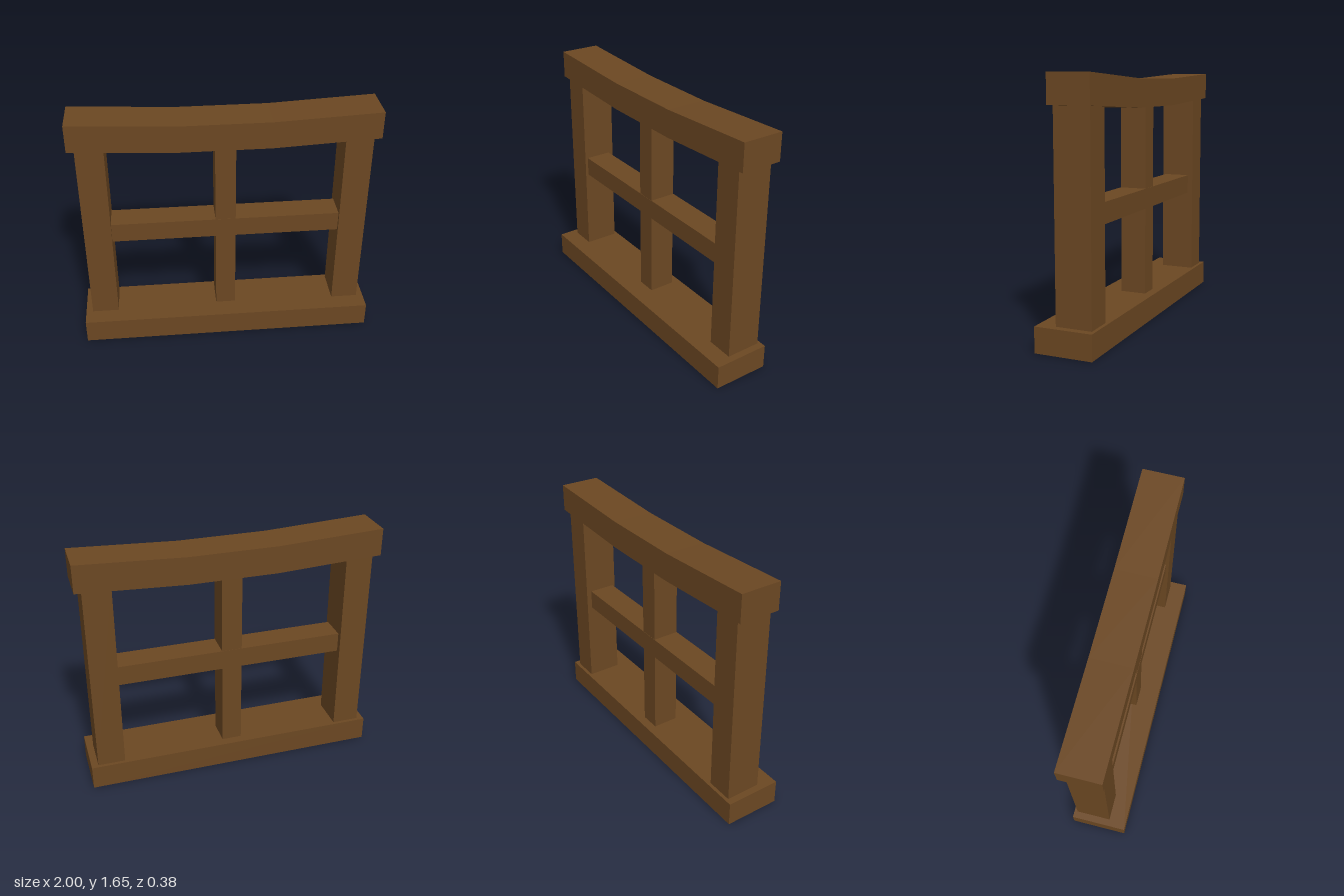
import * as THREE from 'three';

export function createModel() {
  const group = new THREE.Group();
  group.name = 'woodenFrame';
  const wood = new THREE.MeshStandardMaterial({ color: 0x6b4722 });
  wood.name = 'brown wood';

  // Square timber given by its extents on each axis
  function timber(name, [x0, x1], [y0, y1], [z0, z1]) {
    const mesh = new THREE.Mesh(new THREE.BoxGeometry(x1 - x0, y1 - y0, z1 - z0), wood);
    mesh.position.set((x0 + x1) / 2, (y0 + y1) / 2, (z0 + z1) / 2);
    mesh.name = name;
    group.add(mesh);
  }

  // Base sill
  timber('baseSill', [-1, 1], [0, 0.165], [-0.19, 0.19]);

  // Outer posts, run slightly into the top beam
  timber('rightPost', [-0.953, -0.77], [0.16, 1.48], [-0.167, 0.07]);
  timber('leftPost', [0.77, 0.953], [0.16, 1.48], [-0.167, 0.07]);

  // Thin middle post and cross rail
  timber('middlePost', [-0.07, 0.066], [0.16, 1.45], [-0.129, 0.048]);
  timber('crossRail', [-0.78, 0.78], [0.75, 0.885], [-0.131, 0.05]);

  // Sagging top beam: three straight segments, ends raised
  const line = [[-1, 1.465], [-0.295, 1.43], [0.295, 1.43], [1, 1.465]];
  const height = 0.184;
  const outline = [
    ...line,
    ...line.map(([x, y]) => [x, y + height]).reverse(),
  ].map(([x, y]) => new THREE.Vector2(x, y));
  const beamGeometry = new THREE.ExtrudeGeometry(new THREE.Shape(outline), {
    depth: 0.274,
    bevelEnabled: false,
  });
  beamGeometry.translate(0, 0, -0.189);
  const beam = new THREE.Mesh(beamGeometry, wood);
  beam.name = 'topBeam';
  group.add(beam);

  return group;
}
